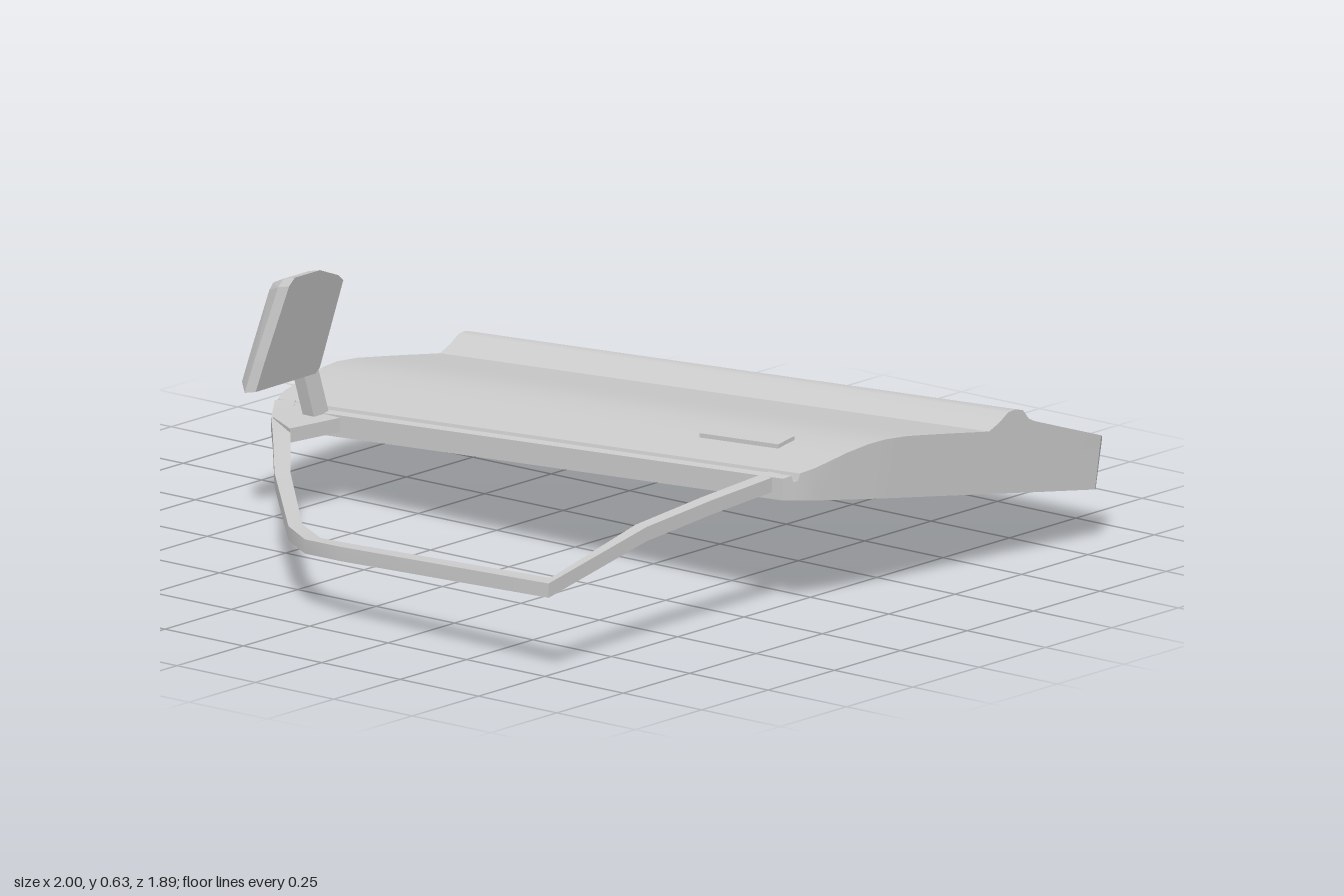
import * as THREE from 'three';
import { toCreasedNormals } from 'three/addons/utils/BufferGeometryUtils.js';
import { ConvexGeometry } from 'three/addons/geometries/ConvexGeometry.js';

const V = (x, y, z) => new THREE.Vector3(x, y, z);

// The door lies skewed: x and y drift along its length
const lean = (u, h, z) => V(u - 0.058 * z, h + 0.073 * z, z);

// Piecewise linear interpolation through [position, value] pairs
function lerpTable(table, u) {
  if (u <= table[0][0]) return table[0][1];
  for (let i = 1; i < table.length; i++) {
    const [a, va] = table[i - 1], [b, vb] = table[i];
    if (u <= b) return va + (vb - va) * (u - a) / (b - a);
  }
  return table[table.length - 1][1];
}

// Skin through rings; each ring runs along its top, then back along its bottom
function skin(rings, crease) {
  const pos = [];
  const quad = (a, b, c, d) => [a, b, c, a, c, d].forEach((p) => pos.push(p.x, p.y, p.z));
  const n = rings[0].length;
  for (let r = 0; r + 1 < rings.length; r++) {
    const A = rings[r], B = rings[r + 1];
    for (let i = 0; i < n; i++) {
      const j = (i + 1) % n;
      quad(A[i], A[j], B[j], B[i]);
    }
  }
  const first = rings[0], last = rings[rings.length - 1];
  for (let i = 0; i + 1 < n / 2; i++) {
    const p = n - 1 - i, q = n - 2 - i;
    quad(first[p], first[q], first[i + 1], first[i]);
    quad(last[i], last[i + 1], last[q], last[p]);
  }
  const geo = new THREE.BufferGeometry();
  geo.setAttribute('position', new THREE.Float32BufferAttribute(pos, 3));
  return toCreasedNormals(geo, crease);
}

export function createModel() {
  const model = new THREE.Group();
  model.name = 'carDoor';
  const grey = new THREE.MeshStandardMaterial({ color: 0xcccccc });
  grey.name = 'light grey';
  const add = (name, geo) => {
    const mesh = new THREE.Mesh(geo, grey);
    mesh.name = name;
    model.add(mesh);
    return mesh;
  };

  // Door panel: outer skin profile with window slot, swage ridge and sill
  const profile = [
    [-0.14, 0.29], [-0.118, 0.294], [-0.113, 0.278], [-0.1, 0.278], [-0.095, 0.296],
    [-0.05, 0.303], [0.05, 0.322], [0.12, 0.331], [0.175, 0.333], [0.25, 0.327], [0.36, 0.311],
    [0.515, 0.287], [0.535, 0.284], [0.57, 0.3], [0.6, 0.32], [0.625, 0.323], [0.65, 0.316],
    [0.67, 0.291], [0.69, 0.281], [0.925, 0.2], [0.938, 0.194], [0.945, 0.182],
  ];
  const frontEdge = [[-0.145, 0.82], [-0.065, 0.85], [0.175, 0.885], [0.515, 0.91],
    [0.875, 0.945], [0.93, 0.94], [0.945, 0.925]];
  const backEdge = [[-0.14, -0.885], [-0.06, -0.935], [0.2, -0.955], [0.53, -0.93],
    [0.68, -0.92], [0.945, -0.875]];
  const underside = (u) => 0.235 - 0.16 * (u + 0.14);
  const ring = (topZ, bottomZ) => [
    ...profile.map(([u, h]) => lean(u, h, topZ(u))),
    ...profile.map(([u]) => {
      const b = u - 0.025 * Math.max(0, (u - 0.69) / 0.255);
      return lean(b, underside(b), bottomZ(u));
    }).reverse(),
  ];
  const front = (u) => lerpTable(frontEdge, u);
  add('doorPanel', skin([
    ring(front, front),
    ring((u) => lerpTable(backEdge, u), () => -0.862),
  ], 0.5));

  // Window frame: outer x, z, inner x, z, top height
  const framePath = [
    [-0.15, 0.785, -0.15, 0.745, 0.348], [-0.4, 0.778, -0.4, 0.741, 0.332],
    [-0.64, 0.77, -0.64, 0.735, 0.31], [-1, 0.762, -0.955, 0.73, 0.238],
    [-0.94, 0.05, -0.9, 0.05, 0.198], [-0.9, -0.1, -0.865, -0.08, 0.184],
    [-0.82, -0.22, -0.785, -0.205, 0.181], [-0.53, -0.51, -0.5, -0.485, 0.208],
    [-0.3, -0.71, -0.27, -0.68, 0.225], [-0.2, -0.8, -0.17, -0.765, 0.233],
    [-0.08, -0.89, -0.05, -0.85, 0.238],
  ];
  add('windowFrame', skin(framePath.map(([ox, oz, ix, iz, y]) => [
    V(ox, y, oz), V(ix, y, iz), V(ix, y - 0.036, iz), V(ox, y - 0.036, oz),
  ]), 0.35));

  // Corner plate that carries the mirror
  const plate = [];
  for (const [x, z] of [[-0.26, -0.69], [-0.2, -0.795], [-0.08, -0.885], [-0.05, -0.88], [-0.08, -0.66]]) {
    plate.push(V(x, 0.236, z), V(x, 0.2, z));
  }
  add('mirrorPlate', new ConvexGeometry(plate));

  // Mirror stalk
  const stalk = [];
  for (const [x, y, z] of [[-0.105, 0.225, -0.735], [-0.14, 0.36, -0.745]]) {
    for (const sx of [-0.028, 0.028]) for (const sz of [-0.018, 0.018]) stalk.push(V(x + sx, y, z + sz));
  }
  add('mirrorStalk', new ConvexGeometry(stalk));

  // Mirror housing: flat glass side, smaller rounded back
  const glass = [[-0.35, 0.34], [-0.34, 0.42], [-0.31, 0.61], [-0.295, 0.63], [-0.2, 0.63],
    [-0.12, 0.6], [-0.097, 0.582], [-0.113, 0.355], [-0.125, 0.342]];
  const housing = [];
  for (const [x, y] of glass) {
    const slope = 0.27 * (y - 0.35);
    const bx = -0.235 + (x + 0.235) * 0.62, by = 0.47 + (y - 0.47) * 0.88;
    housing.push(V(x, y, -0.72 + slope));
    housing.push(V(x, y - 0.008, -0.755 + slope));
    housing.push(V(bx, by - 0.012, -0.805 + 0.28 * (by - 0.35)));
  }
  add('mirrorHousing', new ConvexGeometry(housing));

  // Door handle: thin raised bar following the skin
  const bar = new THREE.BoxGeometry(0.062, 0.02, 0.265).toNonIndexed();
  const p = bar.attributes.position;
  for (let i = 0; i < p.count; i++) {
    const x = p.getX(i);
    const q = lean(0.052 + x, 0.322 + p.getY(i) + 0.15 * x, 0.53 + p.getZ(i));
    p.setXYZ(i, q.x, q.y, q.z);
  }
  bar.computeVertexNormals();
  add('doorHandle', bar);

  return model;
}
